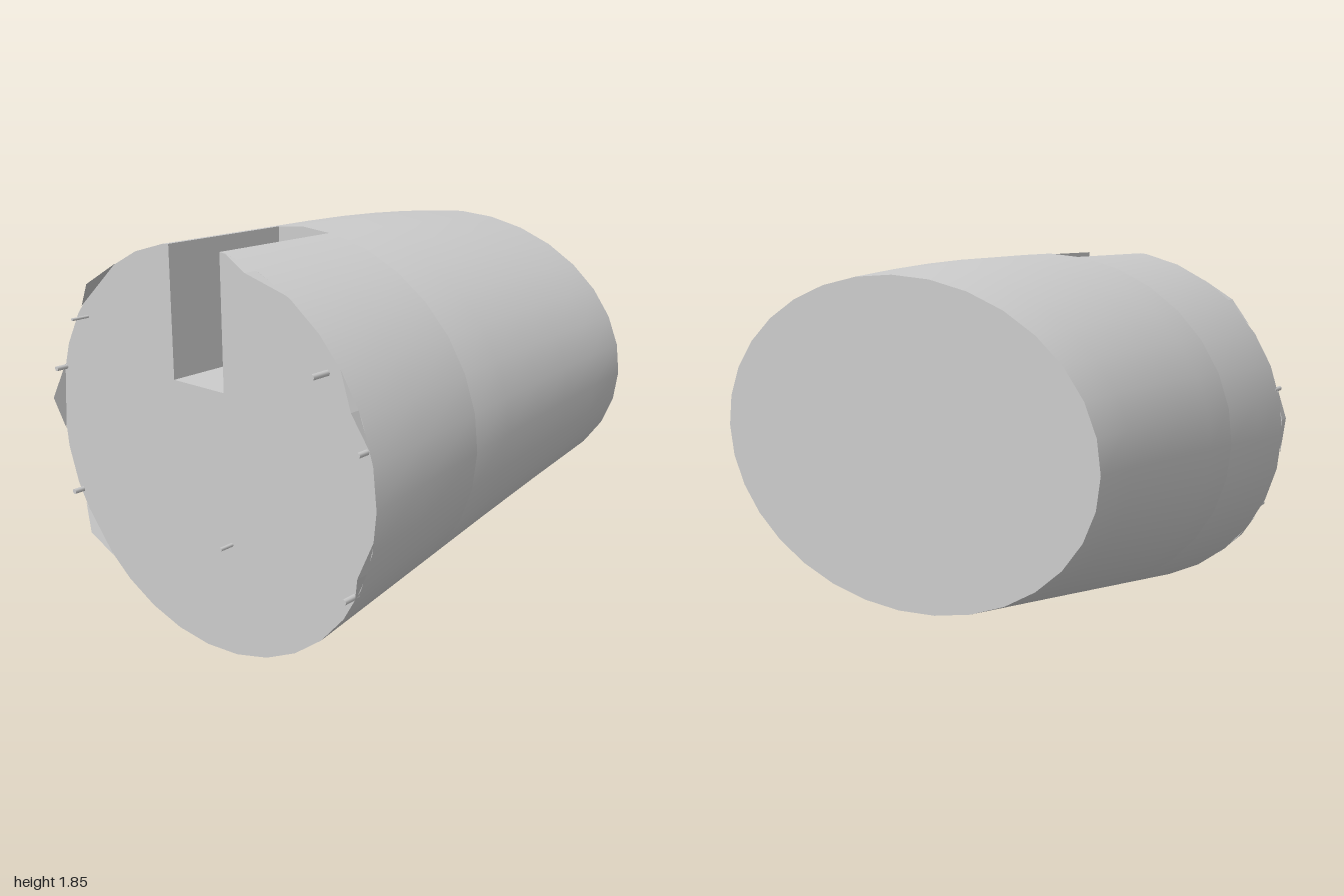
import * as THREE from 'three';
import { toCreasedNormals } from 'three/addons/utils/BufferGeometryUtils.js';
import { ConvexGeometry } from 'three/addons/geometries/ConvexGeometry.js';

const SIDES = 32, FRONT = 0.91, BACK = -1;
const NOTCH_X = 0.157, NOTCH_Y = 1.235, NOTCH_Z = 0.24;
const material = new THREE.MeshStandardMaterial({ color: 0xcccccc });

// Point on the oval skin; angle 0 is the top and turns towards +x
function skin(angle, z) {
  const back = Math.min(z, 0) ** 2;
  const top = 1.845 - 0.05 * back;
  const bottom = 0.36 * (FRONT - z) / (FRONT - BACK);
  const rx = 0.99 - 0.008 * back, ry = (top - bottom) / 2;
  return new THREE.Vector3(rx * Math.sin(angle), bottom + ry * (1 + Math.cos(angle)), z);
}

function ring(z, notched) {
  const pts = [];
  for (let i = 0; i < SIDES; i++) pts.push(skin(i / SIDES * Math.PI * 2, z));
  if (!notched) return pts;
  // Swap the top point for the four corners of the slot
  const edgeY = THREE.MathUtils.lerp(pts[0].y, pts[1].y, NOTCH_X / pts[1].x);
  const corner = (x, y) => new THREE.Vector3(x, y, z);
  return [corner(NOTCH_X, edgeY), ...pts.slice(1),
    corner(-NOTCH_X, edgeY), corner(-NOTCH_X, NOTCH_Y), corner(NOTCH_X, NOTCH_Y)];
}

// Skin through rings ordered front to back
function loft(rings) {
  const tris = [];
  for (let r = 0; r < rings.length - 1; r++) {
    const a = rings[r], b = rings[r + 1];
    for (let i = 0; i < a.length; i++) {
      const j = (i + 1) % a.length;
      tris.push(a[i], a[j], b[i], a[j], b[j], b[i]);
    }
  }
  return toCreasedNormals(new THREE.BufferGeometry().setFromPoints(tris), 0.6);
}

const face = (pts) => new THREE.ShapeGeometry(new THREE.Shape(pts.map((p) => new THREE.Vector2(p.x, p.y))));

export function createModel() {
  const group = new THREE.Group();
  const add = (name, geometry) => {
    const mesh = new THREE.Mesh(geometry, material);
    mesh.name = name;
    group.add(mesh);
    return mesh;
  };

  // Body: slotted front half, then the closed rear half
  add('slottedBody', loft([FRONT, 0.6, NOTCH_Z].map((z) => ring(z, true))));
  add('rearBody', loft([NOTCH_Z, 0, -0.25, -0.5, -0.75, BACK].map((z) => ring(z, false))));
  add('frontFace', face(ring(FRONT, true))).position.z = FRONT;
  const backFace = add('backFace', face(ring(BACK, false)));
  backFace.rotation.y = Math.PI;
  backFace.position.z = BACK;

  // End wall of the slot
  const slot = ring(NOTCH_Z, true), top = skin(0, NOTCH_Z);
  add('slotEndWall', face([slot[0], top, ...slot.slice(-3)])).position.z = NOTCH_Z;

  // Thin pointed slivers around the front rim: start angle, end angle, tip z
  const slivers = [
    [0.19, 0.57, 0.975], [0.95, 1.32, 0.955], [1.70, 2.04, 0.97],
    [-2.40, -2.08, 0.955], [-1.67, -1.30, 0.97], [-0.93, -0.56, 0.965],
  ];
  for (const [from, to, tip] of slivers) {
    const a = skin(from, FRONT), b = skin(to, FRONT), mid = skin((from + to) / 2, FRONT);
    const inner = a.clone().lerp(b, 0.5), peak = mid.clone().setZ(tip);
    add('rimSliver', ConvexGeometry ? new ConvexGeometry([a, b, mid, inner, peak]) : null);
  }

  // Small pins on the front face: x, y, tip z, radius
  const pins = [
    [-0.75, 1.43, 1, 0.007], [0.74, 1.43, 1, 0.013],
    [-0.945, 1.155, 0.97, 0.012], [0.94, 1.155, 0.965, 0.012],
    [-0.88, 0.54, 0.965, 0.013], [0.88, 0.53, 0.975, 0.013],
    [0.18, 0.55, 0.98, 0.009],
  ];
  for (const [x, y, tip, radius] of pins) {
    const length = tip - FRONT + 0.02;
    const pin = new THREE.CylinderGeometry(radius, radius, length, 8).rotateX(Math.PI / 2);
    add('pin', pin).position.set(x, y, tip - length / 2);
  }
  return group;
}
